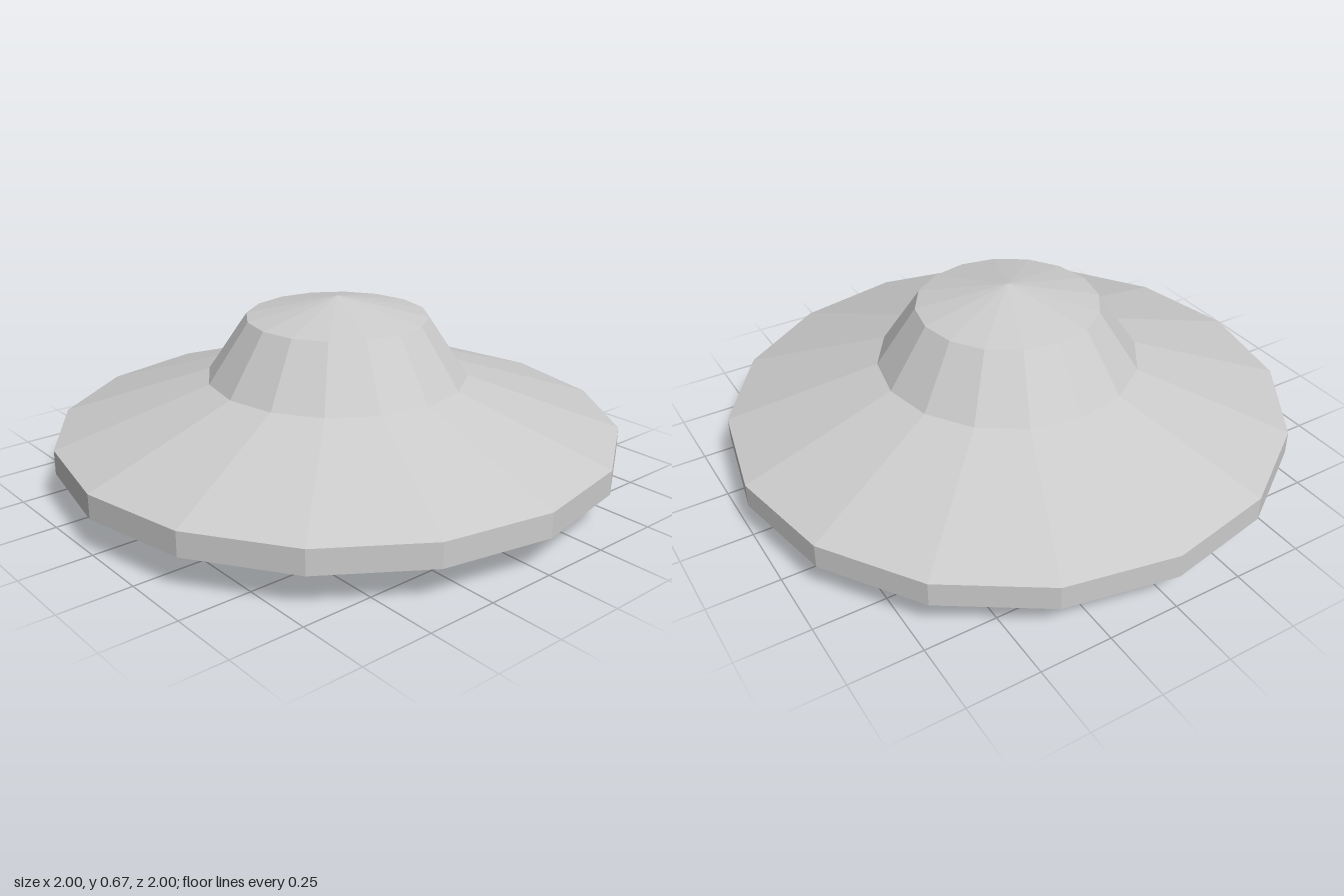
import * as THREE from 'three';

const SIDES = 16;
const material = new THREE.MeshStandardMaterial({ color: 0xcccccc, flatShading: true });

// Faceted ring of revolution; profile is [radius, height] from bottom to top
function turned(name, profile) {
  const points = profile.map(([r, y]) => new THREE.Vector2(r, y));
  const mesh = new THREE.Mesh(new THREE.LatheGeometry(points, SIDES), material);
  mesh.name = name;
  return mesh;
}

export function createModel() {
  const saucer = new THREE.Group();
  saucer.name = 'flyingSaucer';
  saucer.add(
    // Flat base and shallow sloping underside
    turned('underside', [[0, 0], [0.415, 0], [1, 0.125]]),
    // Vertical outer band
    turned('rim', [[1, 0.125], [1, 0.21]]),
    // Sloping top of the disc
    turned('upperHull', [[1, 0.21], [0.463, 0.39]]),
    // Tapered cabin wall and its low conical roof
    turned('cabin', [[0.463, 0.39], [0.322, 0.6]]),
    turned('roof', [[0.322, 0.6], [0, 0.67]])
  );
  return saucer;
}
